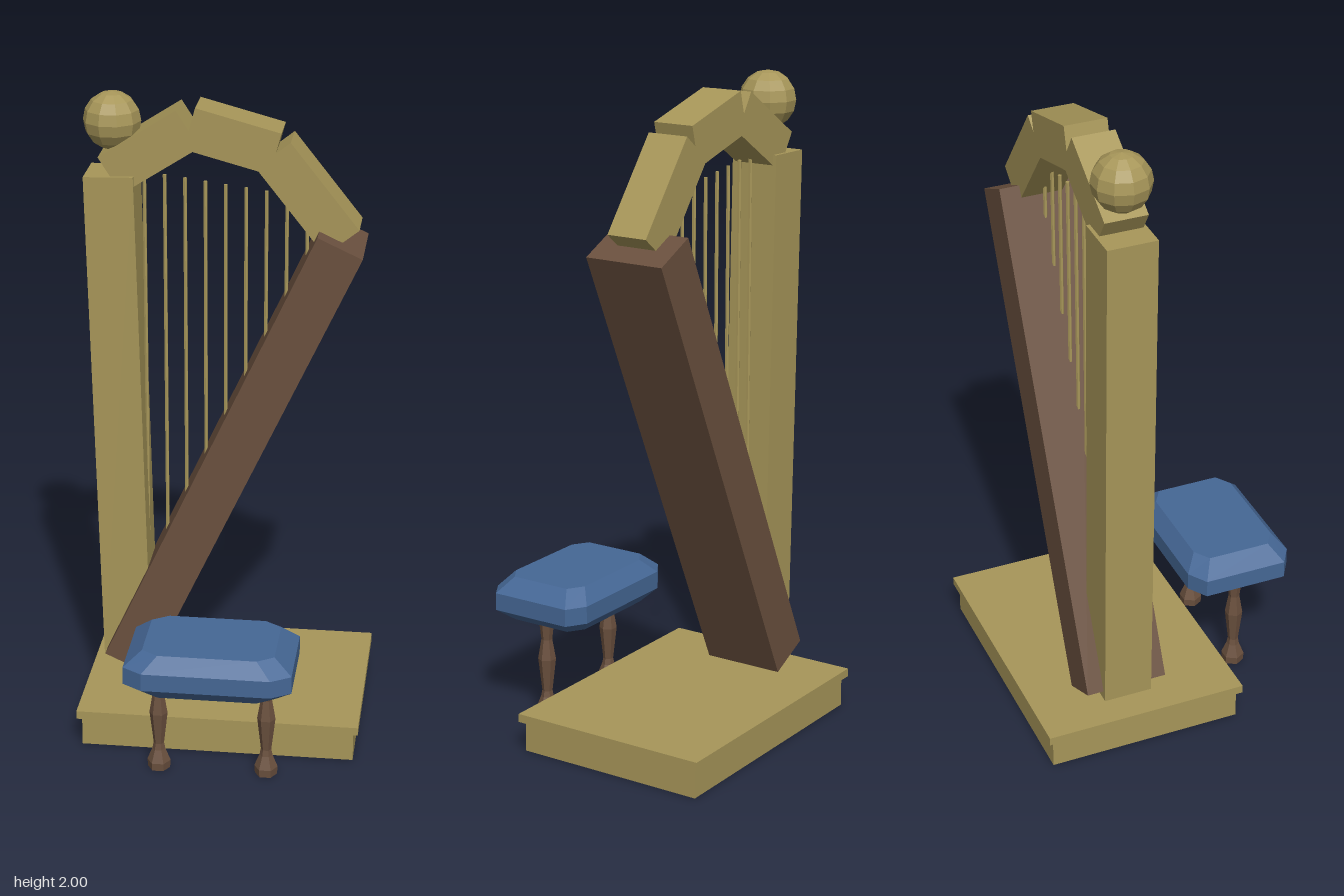
import * as THREE from 'three';

export function createModel() {
  const group = new THREE.Group();
  const mat = (name, color) => {
    const m = new THREE.MeshStandardMaterial({ color, flatShading: true });
    m.name = name;
    return m;
  };
  const gold = mat('gold', 0xa79659);
  const brown = mat('brown wood', 0x6a503e);
  const blue = mat('blue cushion', 0x456795);

  const add = (name, geometry, material, x, y, z, tilt = 0) => {
    const mesh = new THREE.Mesh(geometry, material);
    mesh.name = name;
    mesh.position.set(x, y, z);
    mesh.rotation.z = THREE.MathUtils.degToRad(tilt);
    group.add(mesh);
    return mesh;
  };
  const box = (name, w, h, d, material, x, y, z, tilt) =>
    add(name, new THREE.BoxGeometry(w, h, d), material, x, y, z, tilt);

  const harpZ = -0.178;

  // Plinth with an overhanging top board
  box('plinth', 0.845, 0.096, 0.61, gold, 0, 0.048, -0.131);
  box('plinthTop', 0.875, 0.026, 0.64, gold, 0, 0.108, -0.131);

  // Leaning sound box and pillar
  box('soundBox', 0.148, 1.555, 0.255, brown, 0.01, 0.875, harpZ, -24.9);
  box('pillar', 0.15, 1.585, 0.152, gold, -0.339, 0.965, harpZ, 1.35);

  // Arched neck of three blocks: length, x, y, tilt
  [
    [0.277, -0.237, 1.834, 32.6],
    [0.263, 0.012, 1.876, -15],
    [0.332, 0.235, 1.708, -51.6],
  ].forEach(([length, x, y, tilt], i) =>
    box('neck' + (i + 1), length, 0.13, 0.13, gold, x, y, harpZ, tilt));

  // Ball finial on the pillar
  add('finial', new THREE.SphereGeometry(0.0875, 10, 8), gold, -0.354, 1.9125, harpZ);

  // Strings, ending inside the sound box
  for (let i = 0; i < 9; i++) {
    const x = -0.26 + i * 0.0612;
    const top = 1.758 - i * 0.008;
    const bottom = 0.875 + (x - 0.01) * 2.153;
    if (top - bottom < 0.02) continue;
    add('string' + (i + 1), new THREE.CylinderGeometry(0.006, 0.006, top - bottom, 6),
      gold, x, (top + bottom) / 2, harpZ);
  }

  // Stool cushion lofted through chamfered rings: half width, half depth, chamfers, height
  const rings = [
    [0.198, 0.132, 0.05, 0.033, 0.31],
    [0.252, 0.17, 0.06, 0.038, 0.35],
    [0.252, 0.17, 0.06, 0.038, 0.405],
    [0.198, 0.132, 0.05, 0.033, 0.45],
  ];
  const positions = [];
  const index = [];
  rings.forEach(([w, d, cx, cz, y]) => {
    [[w, d - cz], [w - cx, d], [cx - w, d], [-w, d - cz],
      [-w, cz - d], [cx - w, -d], [w - cx, -d], [w, cz - d]]
      .forEach(([x, z]) => positions.push(x, y, z));
  });
  for (let r = 0; r < 3; r++) {
    for (let i = 0; i < 8; i++) {
      const a = r * 8 + i;
      const b = r * 8 + (i + 1) % 8;
      index.push(a, a + 8, b, b, a + 8, b + 8);
    }
  }
  for (let i = 1; i < 7; i++) {
    index.push(0, i, i + 1); // underside
    index.push(24, 24 + i + 1, 24 + i); // top
  }
  const cushion = new THREE.BufferGeometry();
  cushion.setAttribute('position', new THREE.Float32BufferAttribute(positions, 3));
  cushion.setIndex(index);
  const cushionFlat = cushion.toNonIndexed();
  cushionFlat.computeVertexNormals();
  add('stoolCushion', cushionFlat, blue, 0, 0, 0.28);

  // Two turned stool legs
  const profile = [
    [0, 0], [0.034, 0], [0.036, 0.025], [0.02, 0.065], [0.016, 0.085],
    [0.028, 0.19], [0.017, 0.255], [0.024, 0.315], [0, 0.315],
  ].map(([r, y]) => new THREE.Vector2(r, y));
  const leg = new THREE.LatheGeometry(profile, 6, Math.PI / 2);
  for (const side of [-1, 1]) {
    add(side < 0 ? 'rightStoolLeg' : 'leftStoolLeg', leg, brown, side * 0.165, 0, 0.283);
  }

  // Check the cushion faces outward by winding: rings run from +x towards +z
  return group;
}
